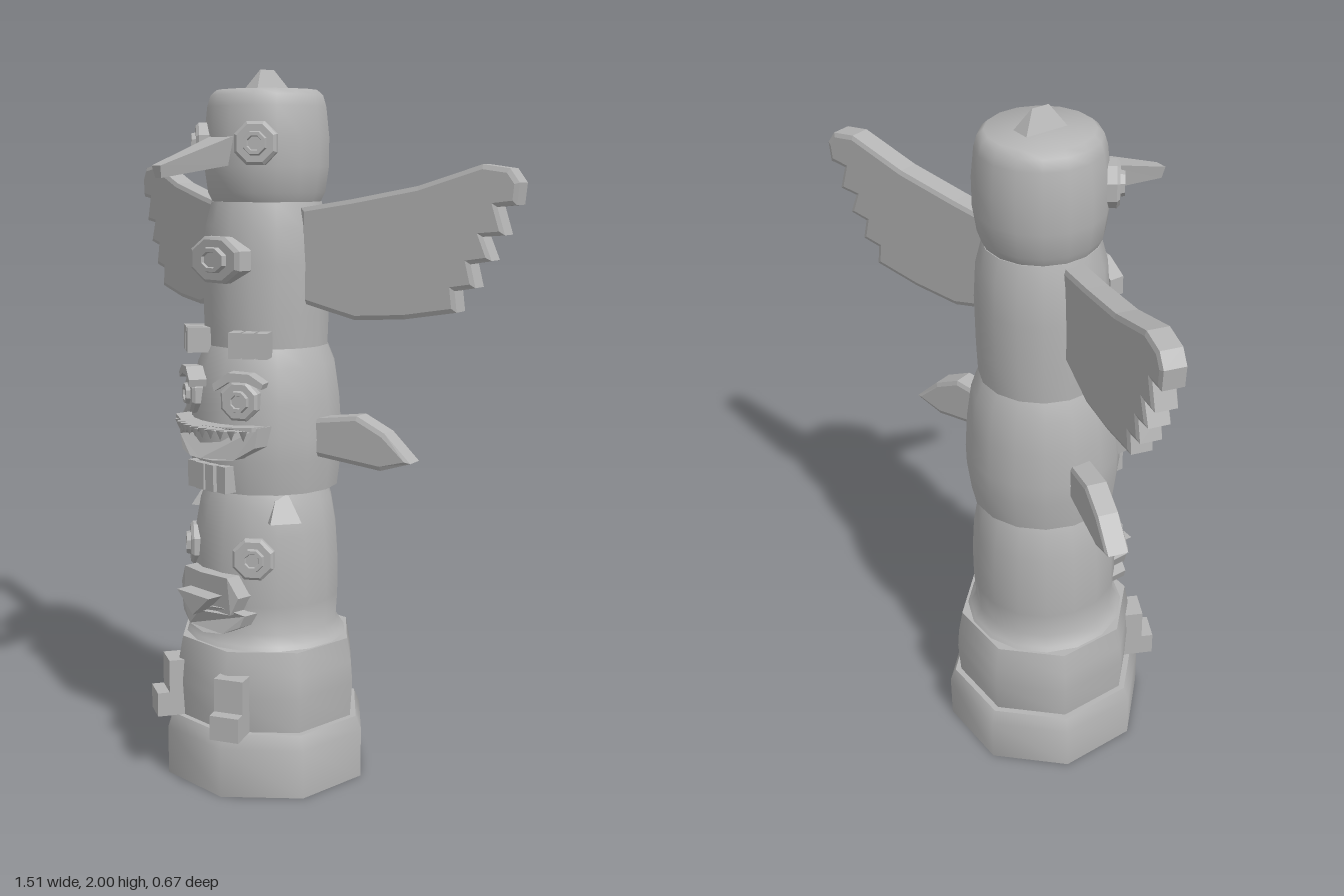
import * as THREE from 'three';
import { toCreasedNormals } from 'three/addons/utils/BufferGeometryUtils.js';

const AXIS_Z = -0.057;

export function createModel() {
  const model = new THREE.Group();
  model.name = 'totemPole';
  const stone = new THREE.MeshStandardMaterial({ color: 0xb4b4b4 });
  stone.name = 'grey stone';

  // the pole axis sits slightly behind the centre
  const pole = new THREE.Group();
  pole.name = 'pole';
  pole.position.z = AXIS_Z;
  model.add(pole);

  const add = (name, geometry, parent = pole) => {
    const mesh = new THREE.Mesh(geometry, stone);
    mesh.name = name;
    parent.add(mesh);
    return mesh;
  };
  // group facing outwards from the axis: angle from the front, radius, height
  const spot = (name, angle, radius, y) => {
    const g = new THREE.Group();
    g.name = name;
    g.position.set(Math.sin(angle) * radius, y, Math.cos(angle) * radius);
    g.rotation.y = angle;
    pole.add(g);
    return g;
  };
  const box = (name, w, h, d, x, y, z, parent) =>
    add(name, new THREE.BoxGeometry(w, h, d).translate(x, y, z), parent);
  // extruded outline, centred in depth
  const slab = (points, depth, bevel = 0) => {
    const shape = new THREE.Shape(points.map(([x, y]) => new THREE.Vector2(x, y)));
    return new THREE.ExtrudeGeometry(shape, {
      depth, bevelEnabled: bevel > 0, bevelThickness: 0.005,
      bevelSize: bevel, bevelOffset: -bevel, bevelSegments: 1,
    }).translate(0, 0, -depth / 2);
  };
  // wraps a flat slab round the pole
  const bend = (geometry, k) => {
    const p = geometry.attributes.position;
    for (let i = 0; i < p.count; i++) p.setZ(i, p.getZ(i) - k * p.getX(i) ** 2);
    geometry.computeVertexNormals();
    return geometry;
  };
  const mirrored = (half) => [...half, ...half.filter(([x]) => x > 0).reverse().map(([x, y]) => [-x, y])];
  // solid between two four-cornered cross-sections
  const loft = (a, b) => {
    const v = [...a, ...b];
    const quads = [[3, 2, 1, 0], [4, 5, 6, 7]];
    for (let i = 0; i < 4; i++) quads.push([i, (i + 1) % 4, (i + 1) % 4 + 4, i + 4]);
    const pos = quads.flatMap(([p, q, r, s]) => [p, q, r, p, r, s].flatMap((i) => v[i]));
    const g = new THREE.BufferGeometry();
    g.setAttribute('position', new THREE.Float32BufferAttribute(pos, 3));
    g.computeVertexNormals();
    return g;
  };

  // stacked barrel sections: name, sides, [radius, height] profile
  const sections = [
    ['base', 8, [[0.302, 0], [0.302, 0.14], [0.285, 0.18]]],
    ['lowerBody', 8, [[0.267, 0.18], [0.273, 0.28], [0.268, 0.34], [0.255, 0.41]]],
    ['bearHead', 16, [[0.24, 0.40], [0.225, 0.42], [0.206, 0.45], [0.211, 0.53], [0.211, 0.63], [0.204, 0.73], [0.19, 0.81], [0.175, 0.85]]],
    ['toothyHead', 16, [[0.206, 0.85], [0.217, 0.94], [0.218, 1.0], [0.211, 1.1], [0.196, 1.2], [0.173, 1.255]]],
    ['birdBody', 16, [[0.175, 1.25], [0.178, 1.34], [0.179, 1.48], [0.172, 1.58], [0.155, 1.645]]],
    ['birdHead', 16, [[0.15, 1.64], [0.165, 1.67], [0.175, 1.74], [0.175, 1.82], [0.166, 1.90], [0.157, 1.93], [0.14, 1.945]]],
  ];
  for (const [name, sides, profile] of sections) {
    const pts = [[0, profile[0][1]], ...profile, [0, profile.at(-1)[1]]].map(([r, y]) => new THREE.Vector2(r, y));
    add(name, toCreasedNormals(new THREE.LatheGeometry(pts, sides, Math.PI / sides), 0.9));
  }

  // crest: hipped ridge on the head
  add('crest', loft(
    [[-0.03, 1.94, 0.065], [0.03, 1.94, 0.065], [0.03, 1.94, -0.065], [-0.03, 1.94, -0.065]],
    [[-0.001, 2, 0.025], [0.001, 2, 0.025], [0.001, 2, -0.025], [-0.001, 2, -0.025]],
  ));
  // beak: tapers forward and down
  add('beak', loft(
    [[-0.035, 1.745, 0.15], [0.035, 1.745, 0.15], [0.05, 1.825, 0.15], [-0.05, 1.825, 0.15]],
    [[-0.012, 1.71, 0.385], [0.012, 1.71, 0.385], [0.018, 1.742, 0.392], [-0.018, 1.742, 0.392]],
  ));

  // round stud with a raised ring, used for eyes and the chest
  const stud = (parent, name, r, sx = 1, depth = 0.05) => {
    const profile = [[0, -depth], [r, -depth], [r, -0.008], [r * 0.86, 0], [r * 0.55, 0], [r * 0.5, 0.012], [r * 0.34, 0.012], [r * 0.3, 0.006], [0, 0.006]];
    const g = new THREE.LatheGeometry(profile.map(([a, b]) => new THREE.Vector2(a, b)), 8, Math.PI / 8);
    add(name, toCreasedNormals(g.rotateX(Math.PI / 2).scale(sx, 1, 1), 0.5), parent);
  };
  stud(spot('chest', 0, 0.2, 1.49), 'chestOval', 0.068, 1.6);

  const wingOutline = [[0.15, 1.63], [0.3, 1.655], [0.48, 1.69], [0.65, 1.745], [0.72, 1.735], [0.745, 1.70],
    [0.74, 1.645], [0.69, 1.64], [0.712, 1.57], [0.655, 1.565], [0.68, 1.505], [0.625, 1.495], [0.64, 1.435],
    [0.585, 1.425], [0.592, 1.37], [0.45, 1.345], [0.31, 1.335], [0.15, 1.375]];
  const finOutline = [[0.18, 1.055], [0.32, 1.075], [0.40, 1.035], [0.475, 0.96], [0.39, 0.932], [0.18, 0.955]];
  const tilt = 0.285;

  for (const s of [1, -1]) {
    const side = s > 0 ? 'left' : 'right';
    // wings and fins sweep backwards
    for (const [name, outline, depth] of [['Wing', wingOutline, 0.055], ['Fin', finOutline, 0.055]]) {
      const flat = outline.map(([x, y]) => [s * (x - 0.17) / Math.cos(tilt), y]);
      const wing = add(side + name, slab(flat, depth, 0.012));
      wing.position.set(s * 0.17, 0, -0.012);
      wing.rotation.y = s * tilt;
    }

    // eyes of the three faces
    stud(spot(side + 'BirdEye', s * 0.66, 0.198, 1.8), 'eye', 0.062);
    stud(spot(side + 'ToothyEye', s * 0.48, 0.228, 1.113), 'eye', 0.058);
    stud(spot(side + 'BearEye', s * 0.65, 0.22, 0.67), 'eye', 0.063);

    // arched eyebrow
    const brow = [[-0.075, 1.16], [-0.03, 1.192], [0.03, 1.19], [0.07, 1.165], [0.065, 1.15], [0.02, 1.168], [-0.03, 1.166], [-0.07, 1.14]];
    add('eyebrow', slab(brow.map(([x, y]) => [s * x, y]), 0.05), spot(side + 'Brow', s * 0.5, 0.215, 0));

    // bird claws
    const claw = spot(side + 'Claw', s * 0.6, 0.19, 1.265);
    for (const i of [-1, 0, 1]) box('talon', 0.032, 0.07, 0.08, i * 0.038, 0, 0, claw);

    // bear ears
    const ear = spot(side + 'Ear', s * 1.08, 0.175, 0.77);
    add('ear', loft(
      [[-0.045, 0, 0.04], [0.045, 0, 0.04], [0.045, 0, -0.03], [-0.045, 0, -0.03]],
      [[-0.018, 0.072, 0], [0.018, 0.072, 0], [0.018, 0.072, -0.03], [-0.018, 0.072, -0.03]],
    ), ear);

    // legs and feet
    const leg = spot(side + 'Leg', s * 0.47, 0.265, 0);
    box('shin', 0.085, 0.165, 0.07, 0, 0.2625, 0, leg);
    box('foot', 0.085, 0.07, 0.08, 0, 0.215, 0.03, leg);
  }

  // grinning mouth with teeth and a striped chin
  const lip = mirrored([[0, 1.035], [0.06, 1.035], [0.12, 1.04], [0.165, 1.045], [0.158, 0.99], [0.11, 0.955], [0.05, 0.948], [0, 0.948]]);
  add('mouth', bend(slab(lip, 0.06), 2.4)).position.z = 0.22;
  const brim = mirrored([[0, 1.045], [0.08, 1.045], [0.16, 1.048], [0.16, 1.036], [0.08, 1.033], [0, 1.033]]);
  add('upperLip', bend(slab(brim, 0.05), 2.4)).position.z = 0.24;
  for (let i = 0; i < 10; i++) {
    const x = (i - 4.5) * 0.03;
    const tooth = add('tooth', new THREE.ConeGeometry(0.016, 0.03, 4).rotateX(Math.PI));
    tooth.position.set(x, 1.022, 0.254 - 2.4 * x * x);
  }
  for (let i = 0; i < 4; i++) {
    const x = (i - 1.5) * 0.041;
    box('chinBar', 0.034, 0.075, 0.05, x, 0.893, 0.21 - 2 * x * x);
  }

  // bear muzzle, lower lip and nose
  const muzzle = mirrored([[0, 0.622], [0.09, 0.62], [0.122, 0.565], [0.1, 0.515], [0, 0.51]]);
  add('muzzle', bend(slab(muzzle, 0.08), 2)).position.z = 0.208;
  const jaw = mirrored([[0, 0.525], [0.07, 0.53], [0.135, 0.515], [0.12, 0.48], [0.07, 0.455], [0, 0.446]]);
  add('jaw', bend(slab(jaw, 0.08), 2)).position.z = 0.202;
  add('nose', slab([[-0.068, 0.565], [0, 0.505], [0.068, 0.565]], 0.06)).position.z = 0.25;

  return model;
}
